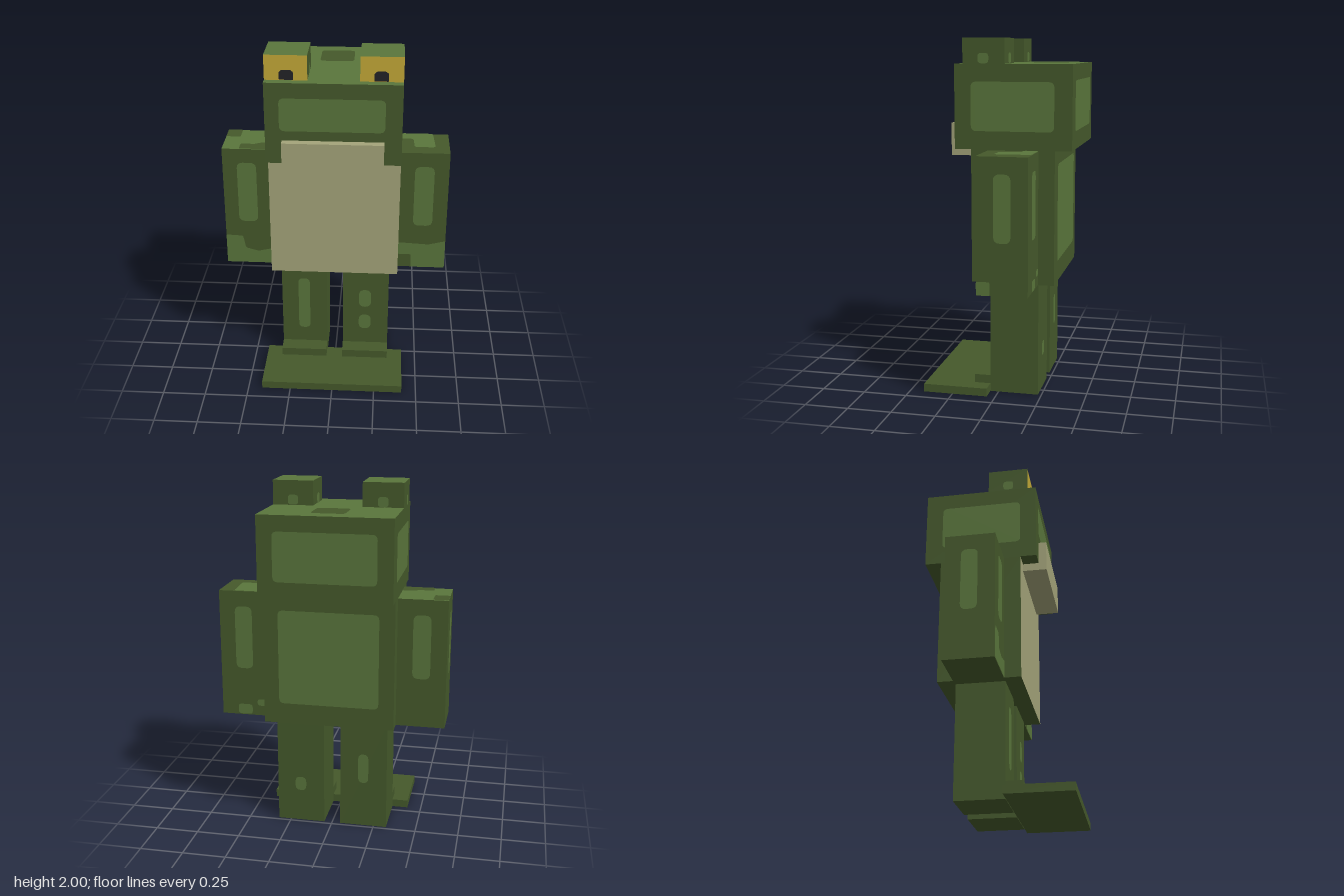
import * as THREE from 'three';

const mat = (name, color) => {
  const m = new THREE.MeshStandardMaterial({ color });
  m.name = name;
  return m;
};

export function createModel() {
  const root = new THREE.Group();
  root.name = 'blockFrog';
  const dark = mat('darkGreen', 0x45592b);
  const light = mat('lightGreen', 0x5a763c);
  const tan = mat('bellyTan', 0xa4a47a);
  const yellow = mat('eyeYellow', 0xc3a937);
  const black = mat('pupilBlack', 0x232326);

  // Box from its limits; faces overrides the colour of single sides
  const SIDES = ['right', 'left', 'top', 'bottom', 'front', 'back'];
  function box(name, x0, x1, y0, y1, z0, z1, base = dark, faces = {}) {
    const mesh = new THREE.Mesh(
      new THREE.BoxGeometry(x1 - x0, y1 - y0, z1 - z0),
      SIDES.map((s) => faces[s] || base)
    );
    mesh.position.set((x0 + x1) / 2, (y0 + y1) / 2, (z0 + z1) / 2);
    mesh.name = name;
    root.add(mesh);
  }

  // Flat marking on a side at depth d. Points are (x,y) on front and back,
  // (z,y) on right and left, (x,z) on top; corners are rounded by r.
  const LAY = {
    front: { su: 1, sv: 1, rot: [0, 0, 0], n: [0, 0, 1] },
    back: { su: -1, sv: 1, rot: [0, Math.PI, 0], n: [0, 0, -1] },
    right: { su: -1, sv: 1, rot: [0, Math.PI / 2, 0], n: [1, 0, 0] },
    left: { su: 1, sv: 1, rot: [0, -Math.PI / 2, 0], n: [-1, 0, 0] },
    top: { su: 1, sv: -1, rot: [-Math.PI / 2, 0, 0], n: [0, 1, 0] },
  };
  function marking(name, side, d, pts, r = 0.015, material = light) {
    const { su, sv, rot, n } = LAY[side];
    const p = pts.map(([u, v]) => new THREE.Vector2(u * su, v * sv));
    const shape = new THREE.Shape();
    p.forEach((c, i) => {
      const towards = (q) => {
        const e = q.clone().sub(c);
        return c.clone().addScaledVector(e, Math.min(0.5, r / e.length()));
      };
      const a = towards(p[(i + p.length - 1) % p.length]);
      const b = towards(p[(i + 1) % p.length]);
      if (i === 0) shape.moveTo(a.x, a.y);
      else shape.lineTo(a.x, a.y);
      shape.quadraticCurveTo(c.x, c.y, b.x, b.y);
    });
    shape.closePath();
    const mesh = new THREE.Mesh(new THREE.ShapeGeometry(shape, 4), material);
    mesh.rotation.set(...rot);
    mesh.position.set(...n).multiplyScalar(d + 0.003);
    mesh.name = name;
    root.add(mesh);
  }
  const rect = (u0, u1, v0, v1) => [[u0, v0], [u1, v0], [u1, v1], [u0, v1]];

  // Head and body
  box('head', -0.372, 0.372, 1.4, 1.862, -0.418, 0.232, dark, { top: light });
  box('body', -0.372, 0.372, 0.655, 1.4, -0.325, 0.14, dark, { front: tan });
  box('chin', -0.28, 0.277, 1.355, 1.535, 0.14, 0.277, tan);
  marking('foreheadPatch', 'front', 0.232, rect(-0.293, 0.28, 1.59, 1.777), 0.03);
  marking('headBackPatch', 'back', 0.418, rect(-0.285, 0.285, 1.5, 1.775), 0.03);
  marking('crownPatch', 'top', 1.862, rect(-0.095, 0.095, -0.335, -0.143), 0.03, dark);
  for (const side of ['right', 'left'])
    marking('cheekPatch', side, 0.372, rect(-0.32, 0.14, 1.5, 1.767), 0.03);
  marking('backPatch', 'back', 0.325, rect(-0.285, 0.285, 0.775, 1.32), 0.03);

  // Eyes, each with a pupil and a spot on the other three sides
  for (const s of [-1, 1]) {
    const [x0, x1] = s > 0 ? [0.14, 0.372] : [-0.372, -0.14];
    box('eye', x0, x1, 1.862, 2, -0.048, 0.185, dark, { top: light, front: yellow });
    marking('pupil', 'front', 0.185, [
      [s * 0.216, 1.865], [s * 0.292, 1.865], [s * 0.292, 1.908], [s * 0.278, 1.92],
      [s * 0.23, 1.92], [s * 0.216, 1.908],
    ], 0.004, black);
    marking('eyeSpot', 'back', 0.048, rect(s * 0.226, s * 0.286, 1.864, 1.92), 0.02);
    marking('eyeSpot', 'right', x1, rect(0.04, 0.1, 1.864, 1.92), 0.02);
    marking('eyeSpot', 'left', -x0, rect(0.04, 0.1, 1.864, 1.92), 0.02);
  }

  // Arms with long patches on front, back and outside
  for (const s of [-1, 1]) {
    const [x0, x1] = s > 0 ? [0.372, 0.65] : [-0.65, -0.372];
    box('arm', x0, x1, 0.655, 1.396, -0.235, 0.045, dark, s < 0 ? { top: light } : {});
    marking('armFrontPatch', 'front', 0.045, rect(s * 0.455, s * 0.567, 0.935, 1.312), 0.035);
    marking('armBackPatch', 'back', 0.235, rect(s * 0.46, s * 0.56, 0.94, 1.308), 0.035);
    marking('armOuterPatch', s > 0 ? 'right' : 'left', 0.65, rect(-0.143, -0.05, 0.94, 1.305), 0.035);
  }
  marking('rightHandPatch', 'front', 0.045, [
    [-0.65, 0.655], [-0.372, 0.655], [-0.372, 0.755], [-0.46, 0.735],
    [-0.535, 0.755], [-0.55, 0.835], [-0.65, 0.84],
  ], 0.01);
  marking('leftHandPatch', 'front', 0.045, [
    [0.45, 0.655], [0.65, 0.655], [0.65, 0.835], [0.55, 0.81], [0.372, 0.82],
    [0.372, 0.74], [0.45, 0.74],
  ], 0.01);
  marking('leftHandOuterPatch', 'right', 0.65, rect(-0.03, 0.045, 0.655, 0.73), 0.01);
  marking('leftHandBackSpot', 'back', 0.235, rect(0.47, 0.555, 0.66, 0.72), 0.02);
  marking('leftHandBackSpot', 'back', 0.235, rect(0.385, 0.44, 0.715, 0.755), 0.02);
  marking('leftShoulderPatch', 'top', 1.396, [
    [0.372, -0.235], [0.56, -0.235], [0.57, -0.035], [0.45, -0.035],
    [0.445, -0.155], [0.372, -0.155],
  ], 0.02);
  marking('rightShoulderCorner', 'top', 1.396, rect(-0.65, -0.565, -0.235, -0.13), 0.012, dark);
  marking('rightShoulderEdge', 'top', 1.396, [
    [-0.55, 0.045], [-0.372, 0.045], [-0.372, -0.05], [-0.44, -0.045],
    [-0.465, -0.027], [-0.55, -0.025],
  ], 0.01, dark);

  // Legs, ankles and the shared foot plate
  for (const s of [-1, 1]) {
    const [x0, x1] = s > 0 ? [0.047, 0.325] : [-0.325, -0.05];
    box('leg', x0, x1, 0, 0.655, -0.23, 0.046);
    box('ankle', x0, x1, 0.046, 0.095, 0.046, 0.14);
  }
  box('footPlate', -0.418, 0.415, 0, 0.046, 0.048, 0.418);
  marking('rightShinPatch', 'front', 0.046, rect(-0.225, -0.155, 0.195, 0.55), 0.03);
  marking('leftShinUpperSpot', 'front', 0.046, rect(0.145, 0.22, 0.358, 0.48), 0.04);
  marking('leftShinLowerSpot', 'front', 0.046, rect(0.145, 0.22, 0.2, 0.302), 0.04);
  marking('rightCalfSpot', 'back', 0.23, rect(-0.217, -0.157, 0.275, 0.455), 0.03);
  marking('leftCalfSpot', 'back', 0.23, rect(0.155, 0.22, 0.195, 0.28), 0.03);

  return root;
}
